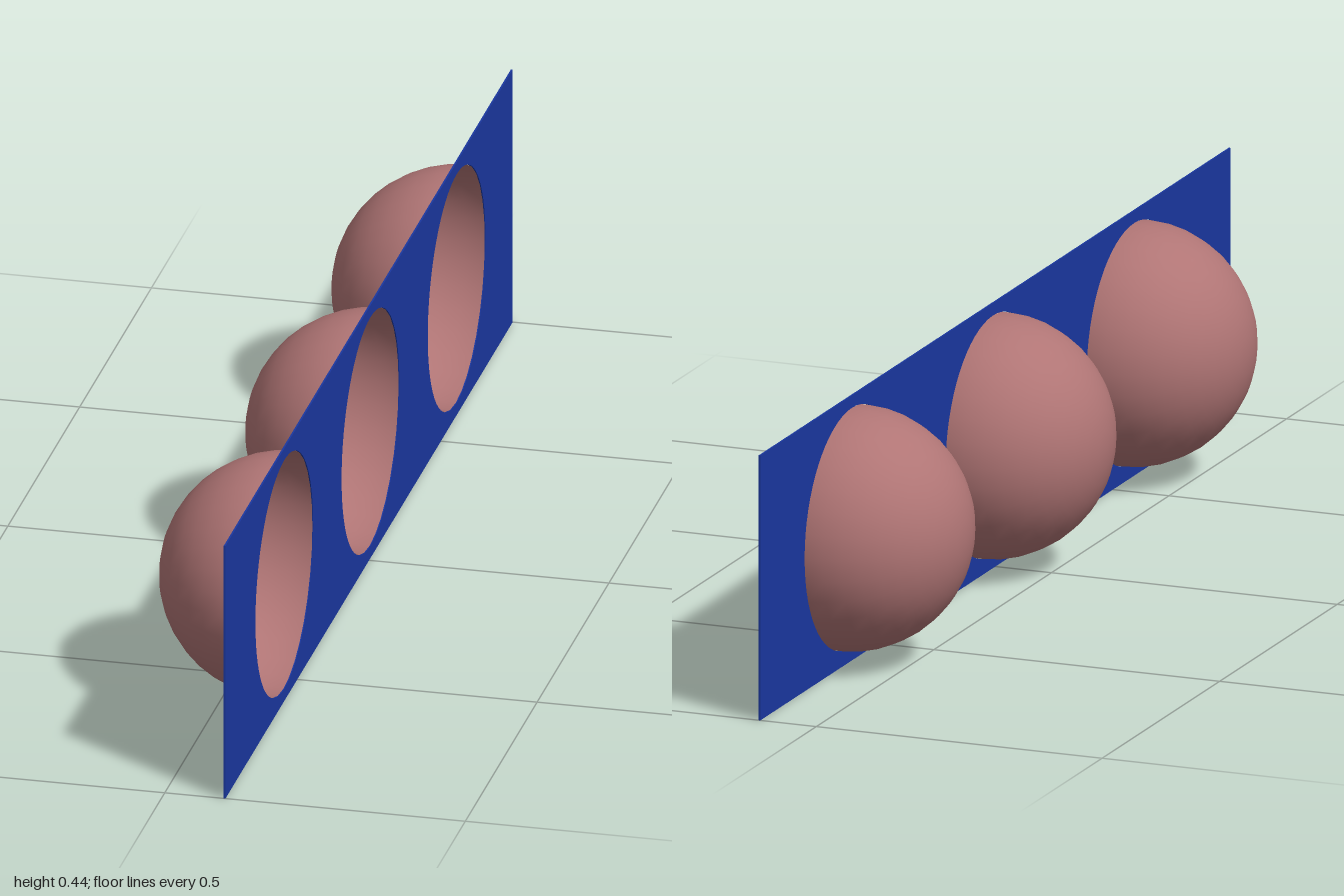
import * as THREE from 'three';

const HEIGHT = 0.445, LENGTH = 2, THICK = 0.003;
const RADIUS = 0.2015, FACE_X = 0.101;
const CENTRE_Y = 0.223, CENTRES_Z = [0.59, -0.01, -0.61];

export function createModel() {
  const model = new THREE.Group();
  const blue = new THREE.MeshStandardMaterial({ color: 0x1a379f });
  const rose = new THREE.MeshStandardMaterial({ color: 0xb07575, side: THREE.DoubleSide });

  // Thin upright plate, drawn flat with shape x = -z, then turned to face +x
  const outline = new THREE.Shape();
  outline.moveTo(-LENGTH / 2, 0);
  outline.lineTo(LENGTH / 2, 0);
  outline.lineTo(LENGTH / 2, HEIGHT);
  outline.lineTo(-LENGTH / 2, HEIGHT);
  outline.closePath();
  for (const z of CENTRES_Z) {
    const hole = new THREE.Path();
    hole.absarc(-z, CENTRE_Y, RADIUS, 0, Math.PI * 2, true);
    outline.holes.push(hole);
  }
  const plateGeometry = new THREE.ExtrudeGeometry(outline, {
    depth: THICK, bevelEnabled: false, curveSegments: 32,
  });
  plateGeometry.rotateY(Math.PI / 2);
  const plate = new THREE.Mesh(plateGeometry, blue);
  plate.name = 'plate';
  plate.position.x = FACE_X - THICK;
  model.add(plate);

  // Open hemispherical bowls bulging toward -x behind each hole
  const bowlGeometry = new THREE.SphereGeometry(RADIUS, 32, 10, 0, Math.PI * 2, 0, Math.PI / 2);
  bowlGeometry.rotateZ(Math.PI / 2);
  CENTRES_Z.forEach((z, i) => {
    const bowl = new THREE.Mesh(bowlGeometry, rose);
    bowl.name = `bowl${i + 1}`;
    bowl.position.set(FACE_X - THICK / 2, CENTRE_Y, z);
    model.add(bowl);
  });

  return model;
}
